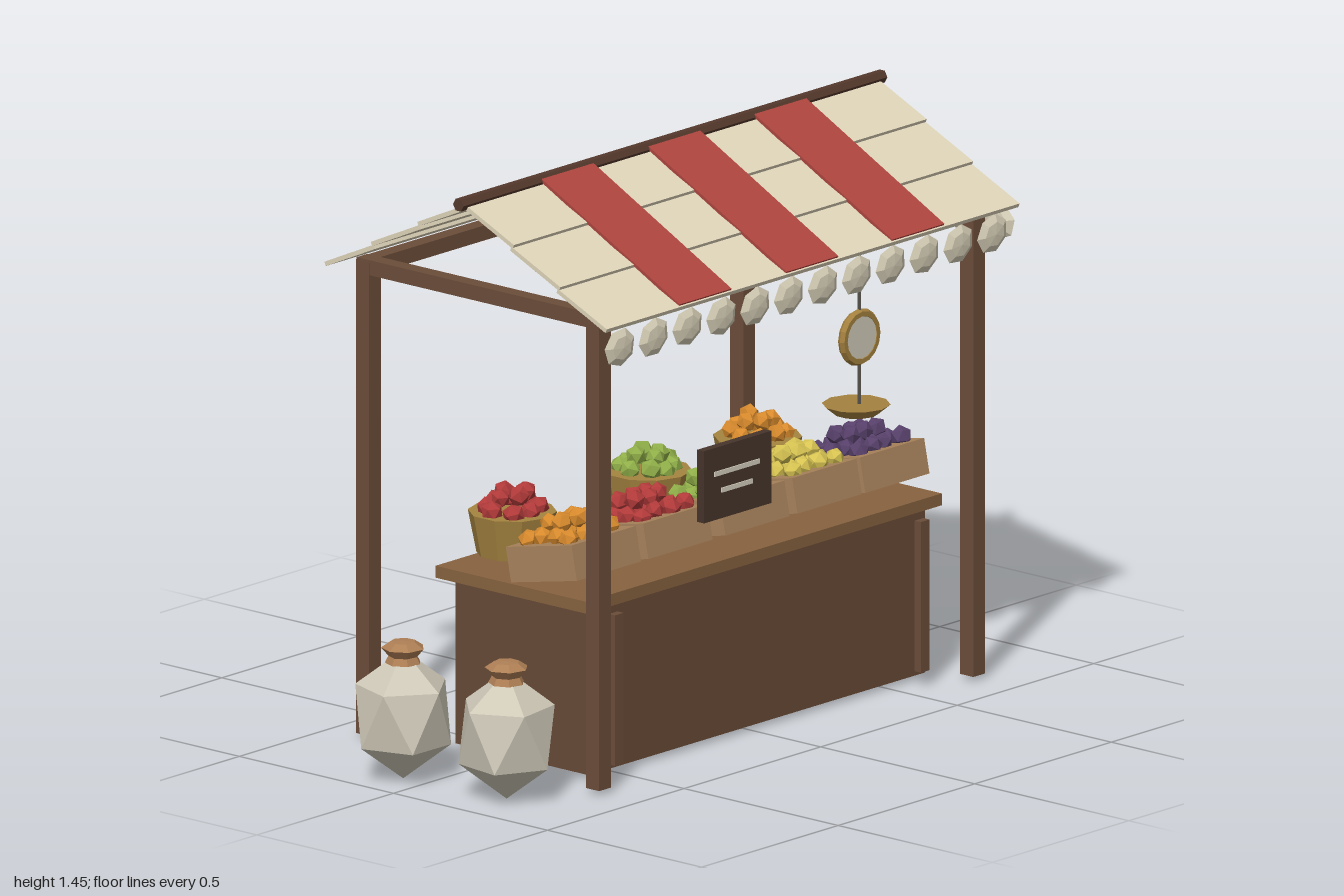
import * as THREE from 'three';

const mat = (color) => new THREE.MeshStandardMaterial({ color, flatShading: true });
const M = {
  wood: mat(0x6b4d3a), body: mat(0x684a37), top: mat(0x87623f), ridge: mat(0x55392c),
  cream: mat(0xe0d5ba), red: mat(0xae453f), sack: mat(0xcfc9b8), tie: mat(0xae7f55),
  crate: mat(0xa9835c), basket: mat(0xa58440), board: mat(0x46352c), chalk: mat(0xd8d2c0),
  brass: mat(0xa5813f), metal: mat(0x55504a), dial: mat(0xd2ccba), pennant: mat(0xd8d0b8),
};
const FRUIT = {
  orange: mat(0xd88a2c), red: mat(0xb23a3a), green: mat(0x8fae48),
  yellow: mat(0xd8c452), purple: mat(0x57406a),
};

let seed = 7;
const rnd = () => (seed = (seed * 16807) % 2147483647) / 2147483647;
const jit = (a) => (rnd() - 0.5) * 2 * a;

function add(parent, name, geo, material, x = 0, y = 0, z = 0) {
  const m = new THREE.Mesh(geo, material);
  m.name = name;
  m.position.set(x, y, z);
  parent.add(m);
  return m;
}
const box = (parent, name, material, w, h, d, x, y, z) =>
  add(parent, name, new THREE.BoxGeometry(w, h, d), material, x, y, z);
const lathe = (pts, n) => new THREE.LatheGeometry(pts.map((p) => new THREE.Vector2(...p)), n);

function group(parent, name, x = 0, y = 0, z = 0) {
  const g = new THREE.Group();
  g.name = name;
  g.position.set(x, y, z);
  parent.add(g);
  return g;
}

// One faceted piece of fruit, turned at random
function fruit(parent, material, x, y, z) {
  const f = add(parent, 'fruit', new THREE.IcosahedronGeometry(0.027 + jit(0.002), 0), material,
    x + jit(0.006), y + jit(0.005), z + jit(0.006));
  f.rotation.set(rnd() * 3, rnd() * 3, rnd() * 3);
}

function crate(parent, x, kind) {
  const g = group(parent, 'fruitCrate', x, 0.53, 0.148);
  g.rotation.x = -0.2;
  box(g, 'crateBox', M.crate, 0.235, 0.088, 0.218, 0, 0, 0);
  for (let i = 0; i < 4; i++) {
    for (let j = 0; j < 4; j++) fruit(g, FRUIT[kind], (i - 1.5) * 0.05, 0.054, (j - 1.5) * 0.045);
  }
  for (let i = 0; i < 3; i++) {
    for (let j = 0; j < 2; j++) fruit(g, FRUIT[kind], (i - 1) * 0.048, 0.086, (j - 0.5) * 0.05);
  }
}

function basket(parent, x, kind) {
  const g = group(parent, 'fruitBasket', x, 0.465, -0.128);
  add(g, 'basketTub', new THREE.CylinderGeometry(0.109, 0.088, 0.106, 10), M.basket, 0, 0.053, 0);
  for (let i = 0; i < 8; i++) {
    const a = (i / 8) * Math.PI * 2;
    fruit(g, FRUIT[kind], Math.cos(a) * 0.065, 0.118, Math.sin(a) * 0.065);
  }
  for (let i = 0; i < 4; i++) {
    const a = (i / 4) * Math.PI * 2 + 0.4;
    fruit(g, FRUIT[kind], Math.cos(a) * 0.033, 0.146, Math.sin(a) * 0.033);
  }
}

function sack(parent, x, z, turn) {
  const g = group(parent, 'sack', x, 0, z);
  g.rotation.y = turn;
  // Stand the icosahedron on one of its corners
  const geo = new THREE.IcosahedronGeometry(0.131, 0);
  geo.rotateZ(Math.atan2(1, (1 + Math.sqrt(5)) / 2));
  geo.scale(1, 1.24, 1);
  add(g, 'sackBody', geo, M.sack, 0, 0.165, 0);
  add(g, 'sackNeck', lathe([[0.045, 0.295], [0.036, 0.312], [0.054, 0.333], [0.032, 0.348], [0, 0.35]], 7), M.tie);
}

// Seven-sided lens-shaped pennant facing +z
const pennantGeo = lathe([[0, -0.013], [0.035, -0.01], [0.056, 0], [0.035, 0.01], [0, 0.013]], 7);
pennantGeo.rotateX(Math.PI / 2);
pennantGeo.scale(1, 0.86, 1);

export function createModel() {
  const root = new THREE.Group();
  root.name = 'marketStall';
  const CX = 0.019, PX = [-0.666, 0.704], PZ = [0.369, -0.377];

  // Frame: posts and top beams
  const frame = group(root, 'frame');
  for (const x of PX) {
    for (const z of PZ) box(frame, 'post', M.wood, 0.043, 1.195, 0.043, x, 0.6125, z);
    box(frame, 'sideBeam', M.wood, 0.04, 0.038, 0.788, x, 1.196, -0.004);
  }
  for (const z of PZ) box(frame, 'longBeam', M.wood, 1.412, 0.038, 0.04, CX, 1.195, z);

  // Roof: overlapping planks on both slopes, ridge pole and red stripes in front
  const roof = group(root, 'roof');
  const N = 6, RUN = 0.452, DROP = 0.235, slope = Math.atan2(DROP, RUN), len = Math.hypot(RUN, DROP);
  for (const s of [1, -1]) {
    for (let i = 0; i < N; i++) {
      const t = (i + 0.5) / N;
      const p = box(roof, 'roofPlank', M.cream, 1.512, 0.011, (len / N) * 1.08,
        0.02, 1.427 - DROP * t + (i % 2) * 0.005, s * RUN * t);
      p.rotation.x = s * (slope - 0.05);
    }
  }
  for (const x of [-0.371, 0.02, 0.408]) {
    const p = box(roof, 'redStripe', M.red, 0.19, 0.008, len + 0.005, x, 1.427 - DROP / 2 + 0.014, RUN / 2);
    p.rotation.x = slope;
  }
  const ridge = add(roof, 'ridgePole', new THREE.CylinderGeometry(0.017, 0.017, 1.552, 6), M.ridge, CX, 1.434, -0.005);
  ridge.rotation.z = Math.PI / 2;

  // Pennants along the front and the left side
  const trim = group(root, 'pennants');
  for (let i = 0; i < 12; i++) {
    const p = add(trim, 'frontPennant', pennantGeo, M.pennant, -0.677 + i * 0.124, 1.143, 0.448);
    p.rotation.z = 0.25 + jit(0.15);
  }
  for (let i = 0; i < 7; i++) {
    const p = add(trim, 'sidePennant', pennantGeo, M.pennant, 0.781, 1.145, 0.383 - i * 0.1243);
    p.rotation.y = Math.PI / 2;
  }

  // Counter with two upright battens in front
  const counter = group(root, 'counter');
  box(counter, 'counterBody', M.body, 1.232, 0.42, 0.431, CX, 0.225, 0.06);
  box(counter, 'counterTop', M.top, 1.302, 0.03, 0.489, 0.016, 0.45, 0.0575);
  for (const x of [-0.544, 0.576]) box(counter, 'batten', M.wood, 0.032, 0.38, 0.02, x, 0.23, 0.319);

  // Goods on the counter
  const goods = group(root, 'goods');
  [[-0.508, 'orange'], [-0.246, 'red'], [0.036, 'green'], [0.3, 'yellow'], [0.548, 'purple']]
    .forEach(([x, kind]) => crate(goods, x, kind));
  [[-0.42, 'red'], [0.075, 'green'], [0.478, 'orange']].forEach(([x, kind]) => basket(goods, x, kind));

  // Price board with two chalk strokes
  const sign = group(root, 'priceBoard', -0.168, 0.696, 0.369);
  box(sign, 'board', M.board, 0.247, 0.182, 0.022, 0, 0, 0);
  box(sign, 'chalkStroke', M.chalk, 0.165, 0.012, 0.006, -0.004, 0.025, 0.011);
  box(sign, 'chalkStroke', M.chalk, 0.113, 0.012, 0.006, -0.004, -0.02, 0.011);

  // Hanging scale: rod, round dial and pan
  const scale = group(root, 'hangingScale', 0.392, 0, 0.278);
  add(scale, 'rod', new THREE.CylinderGeometry(0.005, 0.005, 0.22, 6), M.metal, 0, 1.08, 0);
  add(scale, 'panRod', new THREE.CylinderGeometry(0.005, 0.005, 0.12, 6), M.metal, 0, 0.805, 0);
  add(scale, 'dialRim', new THREE.TorusGeometry(0.06, 0.012, 6, 16), M.brass, 0, 0.913, 0);
  const dial = add(scale, 'dialFace', new THREE.CylinderGeometry(0.056, 0.056, 0.018, 16), M.dial, 0, 0.913, 0);
  dial.rotation.x = Math.PI / 2;
  add(scale, 'pan', new THREE.CylinderGeometry(0.084, 0.055, 0.024, 10), M.brass, 0, 0.731, -0.01);

  // Sacks standing beside the stall
  sack(root, -0.883, -0.072, 0.3);
  sack(root, -0.853, 0.237, 1.1);
  sack(root, 0.884, -0.133, 0);
  return root;
}
